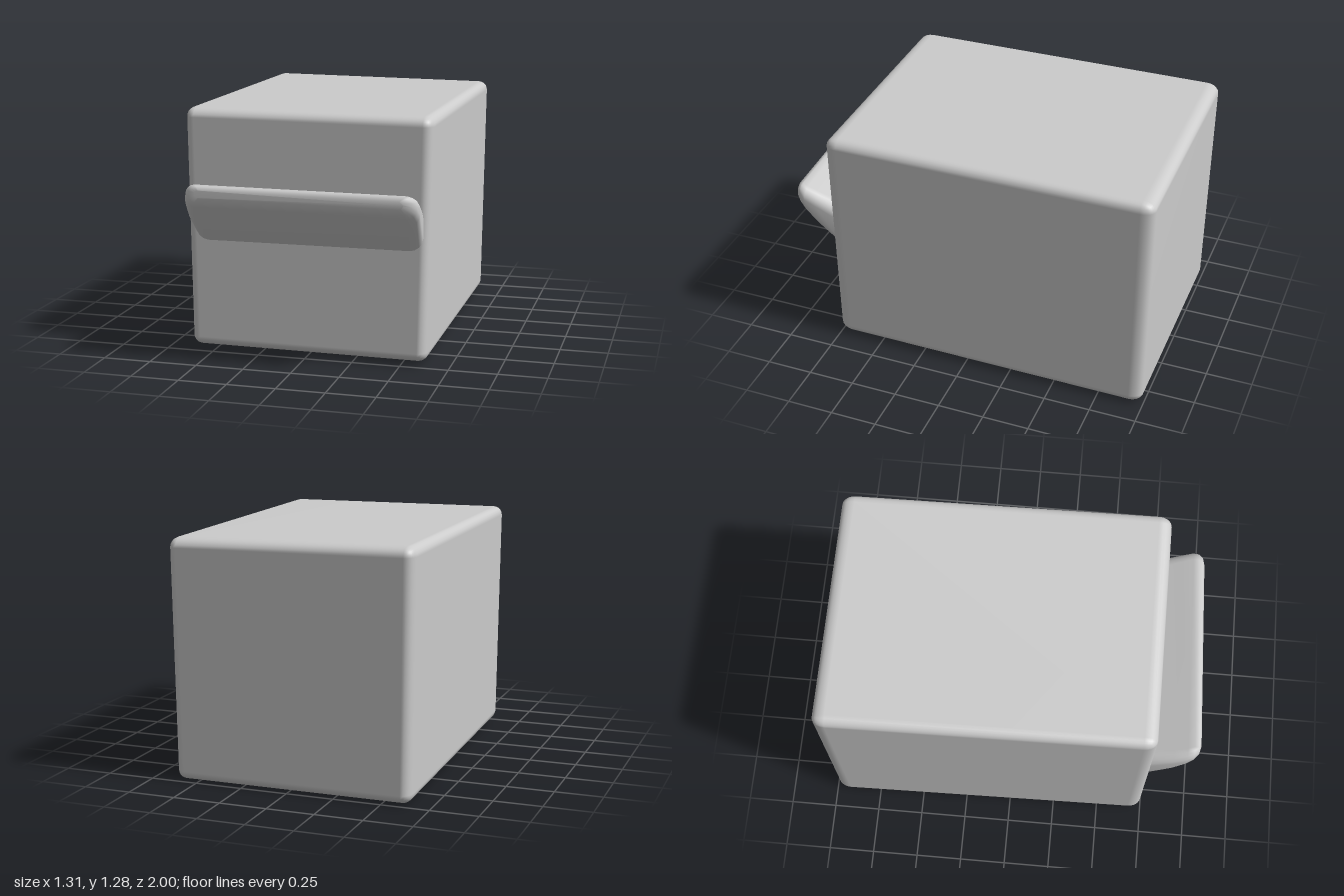
import * as THREE from 'three';
import { mergeVertices } from 'three/addons/utils/BufferGeometryUtils.js';
import { RoundedBoxGeometry } from 'three/addons/geometries/RoundedBoxGeometry.js';

const material = new THREE.MeshStandardMaterial({ color: 0xcccccc });

// Blend of four corner values over the unit square
const blend = (a, b, c, d, s, t) => (a * (1 - s) + b * s) * (1 - t) + (c * (1 - s) + d * s) * t;

// Soft-edged block, slightly out of square
function bodyGeometry() {
  const rounded = new RoundedBoxGeometry(1, 1, 1, 3, 0.04);
  rounded.deleteAttribute('normal');
  rounded.deleteAttribute('uv');
  const geometry = mergeVertices(rounded);
  const p = geometry.attributes.position;
  for (let i = 0; i < p.count; i++) {
    const u = p.getX(i) + 0.5, v = p.getY(i) + 0.5, w = p.getZ(i) + 0.5;
    // each side is a tilted plane: values at back/front and bottom/top, or left/right
    const left = blend(-0.645, -0.62, -0.66, -0.635, w, v);
    const right = blend(0.625, 0.635, 0.64, 0.658, w, v);
    const bottom = blend(0, 0, 0.025, 0.02, u, w);
    const top = blend(1.275, 1.26, 1.28, 1.272, u, w);
    const back = blend(-0.99, -0.99, -1, -1, u, v);
    const front = blend(0.745, 0.75, 0.75, 0.755, u, v);
    p.setXYZ(i, left + (right - left) * u, bottom + (top - bottom) * v, back + (front - back) * w);
  }
  geometry.computeVertexNormals();
  return geometry;
}

// Wedge lip: rounded rectangles lofted from the body out to the raised tip
function lipGeometry() {
  const sections = [ // z, left, right, bottom, top, corner radius
    [0.70, -0.575, 0.61, 0.55, 0.82, 0.07],
    [0.75, -0.58, 0.615, 0.60, 0.84, 0.07],
    [0.86, -0.575, 0.625, 0.70, 0.885, 0.06],
    [0.93, -0.565, 0.63, 0.775, 0.915, 0.055],
    [0.965, -0.55, 0.62, 0.81, 0.927, 0.05],
    [0.99, -0.525, 0.60, 0.835, 0.922, 0.04],
    [1.00, -0.49, 0.56, 0.865, 0.905, 0.02],
  ];
  const steps = 4, ring = 4 * (steps + 1);
  const positions = [], index = [];
  for (const [z, l, r, b, t, radius] of sections) {
    for (let q = 0; q < 4; q++) {
      const cx = q === 0 || q === 3 ? r - radius : l + radius;
      const cy = q < 2 ? t - radius : b + radius;
      for (let k = 0; k <= steps; k++) {
        const a = (q + k / steps) * Math.PI / 2;
        const x = cx + radius * Math.cos(a);
        // the tip falls back a little towards the left end
        const skew = 0.03 * Math.max(0, z - 0.75) / 0.25 * (x + 0.5);
        positions.push(x, cy + radius * Math.sin(a) - skew * 0.4, z - skew);
      }
    }
  }
  for (let s = 0; s < sections.length - 1; s++) {
    for (let i = 0; i < ring; i++) {
      const a = s * ring + i, b = s * ring + (i + 1) % ring;
      index.push(a, b, b + ring, a, b + ring, a + ring);
    }
  }
  // close the tip and the hidden root
  const last = (sections.length - 1) * ring;
  for (let i = 1; i < ring - 1; i++) {
    index.push(last, last + i, last + i + 1, 0, i + 1, i);
  }
  const geometry = new THREE.BufferGeometry();
  geometry.setAttribute('position', new THREE.Float32BufferAttribute(positions, 3));
  geometry.setIndex(index);
  geometry.computeVertexNormals();
  return geometry;
}

export function createModel() {
  const model = new THREE.Group();
  model.name = 'boxWithLip';
  for (const [name, geometry] of [['body', bodyGeometry()], ['frontLip', lipGeometry()]]) {
    const mesh = new THREE.Mesh(geometry, material);
    mesh.name = name;
    model.add(mesh);
  }
  return model;
}
